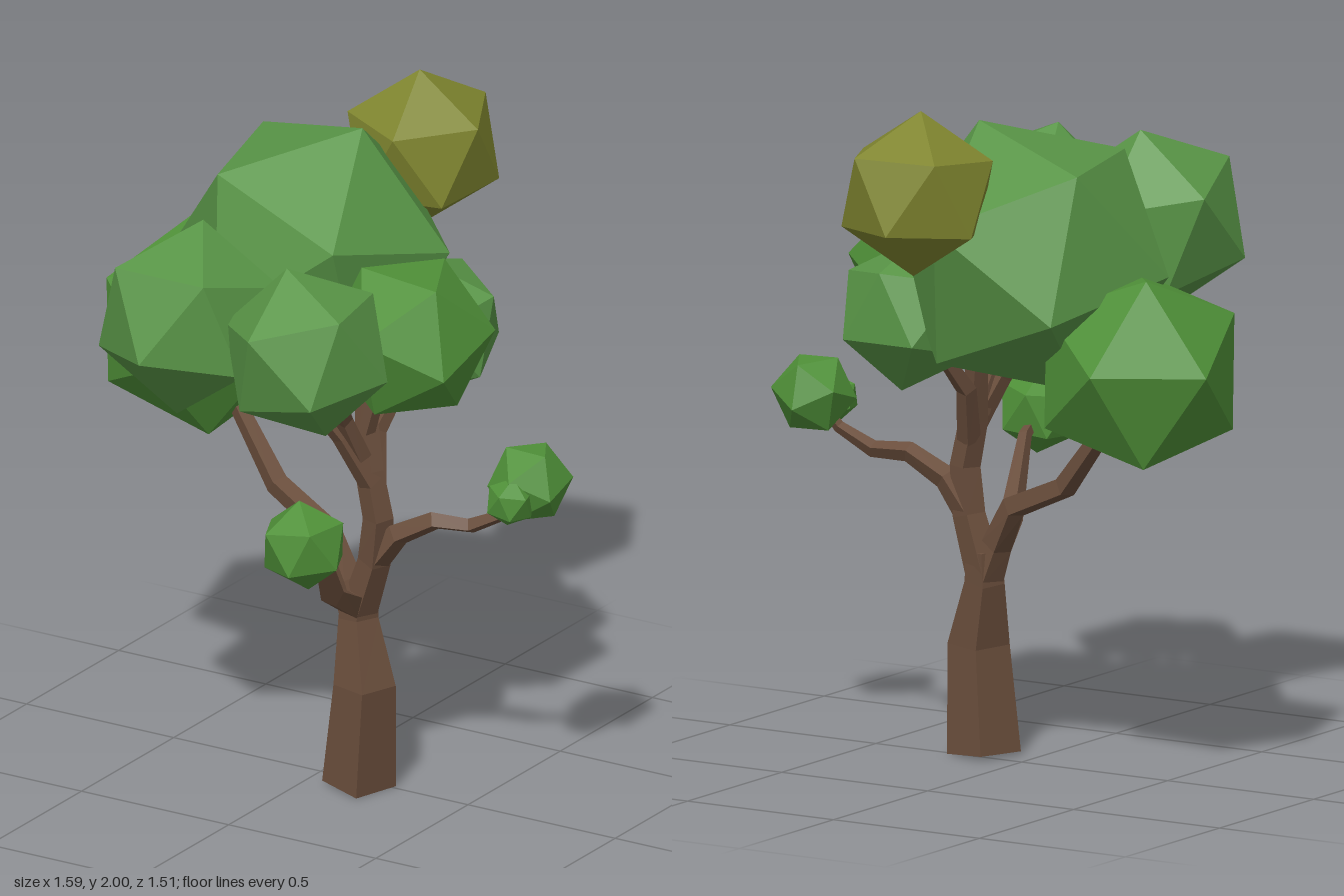
import * as THREE from 'three';

const material = (color) => new THREE.MeshStandardMaterial({ color, flatShading: true });
const bark = material(0x6a4e3c);
const leaf = material(0x589446);
const deepLeaf = material(0x4f9038);
const olive = material(0x7f852f);
const vec = (a) => new THREE.Vector3(a[0], a[1], a[2]);

// Orthonormal frame whose first axis is a, with b in the plane of the first two
function frame(a, b) {
  const x = a.clone().normalize();
  const z = a.clone().cross(b).normalize();
  return new THREE.Matrix4().makeBasis(x, z.clone().cross(x), z);
}

// Icosahedron turned so that one corner points along a and a neighbouring corner leans to b
function foliage(name, mat, center, radius, a, b) {
  const t = (1 + Math.sqrt(5)) / 2;
  const rest = frame(new THREE.Vector3(1, t, 0), new THREE.Vector3(-1, t, 0));
  const geometry = new THREE.IcosahedronGeometry(radius, 0);
  geometry.applyMatrix4(frame(vec(a), vec(b)).multiply(rest.transpose()));
  const mesh = new THREE.Mesh(geometry, mat);
  mesh.position.set(...center);
  mesh.name = name;
  return mesh;
}

// Four-sided limb through points [x, y, z, radius], closed at both ends
function limb(name, points, startNormal = [0.05, 0, 0.095]) {
  const centers = points.map(vec);
  const normal = vec(startNormal);
  const verts = [], index = [], sides = 4, last = points.length - 1;
  centers.forEach((c, i) => {
    const tangent = centers[Math.min(i + 1, last)].clone()
      .sub(centers[Math.max(i - 1, 0)]).normalize();
    normal.addScaledVector(tangent, -normal.dot(tangent)).normalize();
    const side = tangent.clone().cross(normal);
    for (let k = 0; k < sides; k++) {
      const angle = (k / sides) * Math.PI * 2;
      const p = c.clone()
        .addScaledVector(normal, Math.cos(angle) * points[i][3])
        .addScaledVector(side, Math.sin(angle) * points[i][3]);
      verts.push(p.x, Math.max(p.y, 0), p.z);
      if (i < last) {
        const a = i * sides + k, b = i * sides + (k + 1) % sides;
        index.push(a, b, b + sides, a, b + sides, a + sides);
      }
    }
  });
  const e = last * sides;
  index.push(0, 2, 1, 0, 3, 2, e, e + 1, e + 2, e, e + 2, e + 3);
  const geometry = new THREE.BufferGeometry();
  geometry.setAttribute('position', new THREE.Float32BufferAttribute(verts, 3));
  geometry.setIndex(index);
  const flat = geometry.toNonIndexed();
  flat.computeVertexNormals();
  const mesh = new THREE.Mesh(flat, bark);
  mesh.name = name;
  return mesh;
}

export function createModel() {
  const tree = new THREE.Group();
  tree.name = 'tree';

  // Trunk and limbs
  tree.add(
    limb('trunk', [[0.152, 0.005, 0.035, 0.107], [0.18, 0.32, 0.05, 0.09],
      [0.14, 0.51, 0.02, 0.058], [0.145, 0.6, 0.02, 0.052]]),
    limb('mainLimb', [[0.14, 0.53, 0.02, 0.055], [0.2, 0.7, 0.03, 0.048],
      [0.22, 0.84, 0.04, 0.045], [0.19, 0.98, 0.04, 0.042], [0.15, 1.2, 0.0, 0.03],
      [0.08, 1.4, -0.06, 0.022]]),
    limb('rightLimb', [[0.14, 0.52, 0.02, 0.055], [0.1, 0.62, 0.02, 0.045],
      [0.03, 0.745, 0.0, 0.038], [-0.18, 0.835, -0.05, 0.035], [-0.34, 1.02, -0.1, 0.027],
      [-0.42, 1.08, -0.12, 0.02]]),
    limb('leftLimb', [[0.2, 0.7, 0.03, 0.042], [0.28, 0.8, 0.03, 0.036],
      [0.4, 0.865, 0.02, 0.03], [0.51, 0.865, 0.0, 0.025], [0.62, 0.92, -0.01, 0.018],
      [0.68, 1.0, -0.03, 0.012]]),
    limb('frontLimb', [[0.135, 0.55, 0.03, 0.045], [0.19, 0.66, 0.24, 0.035],
      [0.24, 0.87, 0.39, 0.02], [0.26, 0.92, 0.5, 0.012]]),
    limb('frontRightBranch', [[0.2, 0.95, 0.05, 0.035], [0.14, 1.1, 0.11, 0.03],
      [0.04, 1.28, 0.2, 0.024], [-0.04, 1.38, 0.3, 0.02], [-0.1, 1.42, 0.4, 0.015]]),
    limb('frontLeftBranch', [[0.18, 1.0, 0.05, 0.032], [0.16, 1.16, 0.13, 0.027],
      [0.2, 1.34, 0.27, 0.022], [0.25, 1.42, 0.42, 0.015]]),
    limb('backBranch', [[0.2, 0.92, 0.03, 0.035], [0.17, 1.08, -0.03, 0.03],
      [0.2, 1.22, -0.14, 0.022], [0.21, 1.32, -0.24, 0.015]]),
    limb('sideBranch', [[0.17, 1.08, 0.03, 0.025], [0.22, 1.25, 0.03, 0.022],
      [0.31, 1.38, 0.03, 0.015]]),
  );

  // Foliage
  tree.add(
    foliage('crown', leaf, [-0.14, 1.53, -0.17], 0.42, [0.15, 0.39, -0.04], [-0.26, 0.29, -0.16]),
    foliage('oliveClump', olive, [0.01, 1.76, -0.54], 0.24, [0, 0.24, 0.02], [0.03, 0.1, 0.2]),
    foliage('rightClump', deepLeaf, [-0.5, 1.23, -0.15], 0.32, [-0.3, 0.025, -0.11], [-0.09, 0.27, -0.1]),
    foliage('frontRightClump', leaf, [-0.15, 1.53, 0.47], 0.285, [0, 0.27, -0.07], [0, 0.06, -0.27]),
    foliage('frontLeftClump', leaf, [0.27, 1.52, 0.51], 0.257, [-0.06, 0.25, 0.01], [0.14, 0.16, -0.18]),
    foliage('leftClump', deepLeaf, [0.32, 1.42, 0.03], 0.25, [0.22, 0.03, -0.11], [0.02, 0.2, -0.16]),
    foliage('backLeftClump', leaf, [0.21, 1.34, -0.26], 0.225, [0, 0.21, 0.05], [0, 0.15, -0.17]),
    foliage('lowFrontClump', deepLeaf, [0.265, 0.925, 0.515], 0.135, [-0.015, 0.13, 0], [0.1, 0.055, -0.05]),
    foliage('lowLeftClump', deepLeaf, [0.68, 1.02, -0.05], 0.125, [-0.06, 0.1, 0.03], [0.065, 0.1, 0.03]),
    foliage('tinyClump', deepLeaf, [0.675, 0.99, 0.05], 0.075, [0.01, 0.07, 0], [0.06, 0.03, 0.02]),
  );
  return tree;
}
